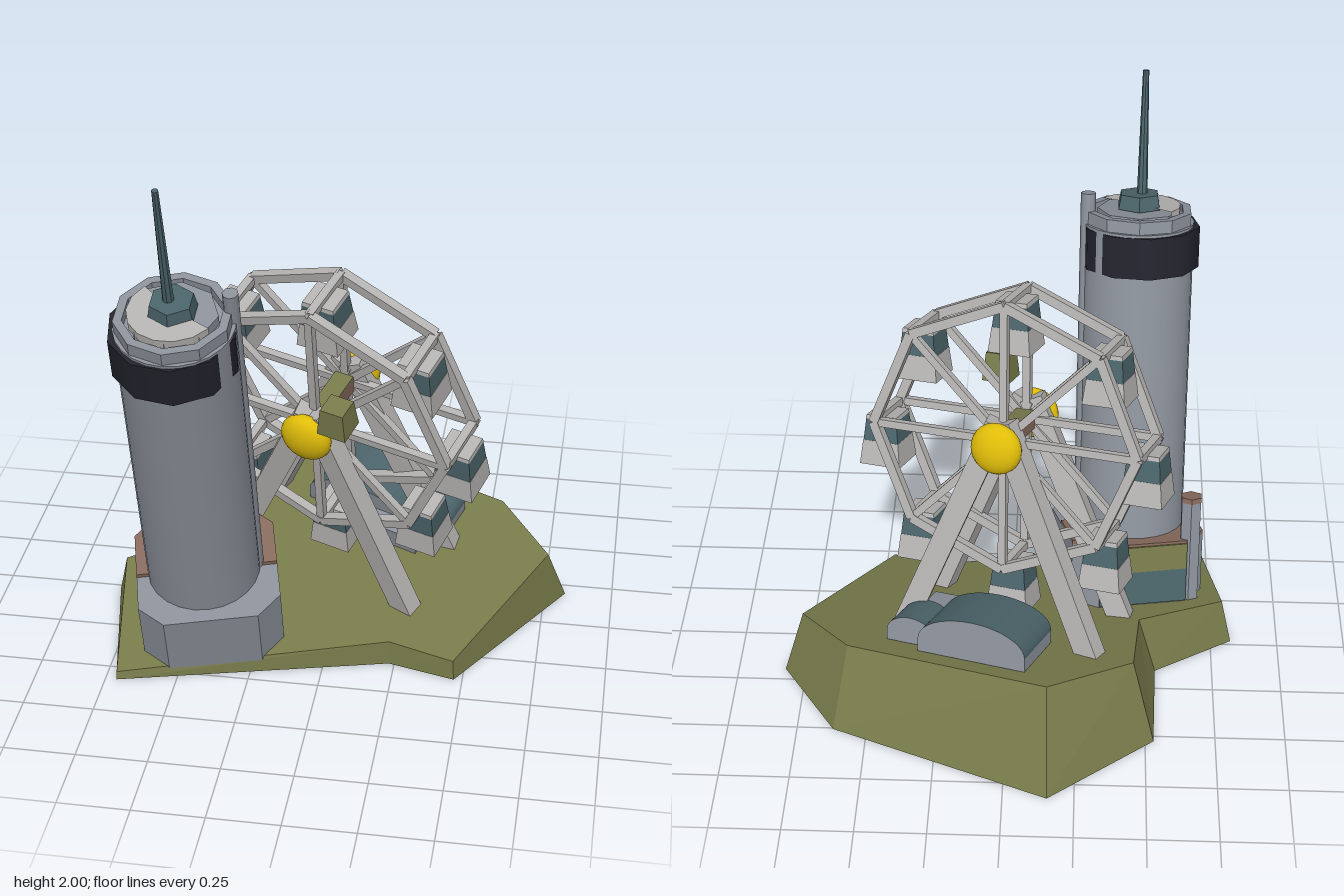
import * as THREE from 'three';

const mat = (name, color) => { const m = new THREE.MeshStandardMaterial({ color }); m.name = name; return m; };

export function createModel() {
  const olive = mat('olive', 0x777a4a), grey = mat('grey', 0x8b919a), pale = mat('pale grey', 0xb5b3b1);
  const black = mat('near black', 0x23232d), teal = mat('teal', 0x4a6369), brown = mat('brown', 0x876a5d);
  const gold = mat('gold', 0xe0bd0a);
  olive.side = THREE.DoubleSide; // the hill is an open shell

  const model = new THREE.Group();
  model.name = 'fairgroundOnHill';
  const V = (x, y, z) => new THREE.Vector3(x, y, z);
  const flat = g => { const n = g.index ? g.toNonIndexed() : g; n.computeVertexNormals(); return n; };
  const add = (parent, name, geo, m, x = 0, y = 0, z = 0) => {
    const mesh = new THREE.Mesh(geo, m);
    mesh.name = name;
    mesh.position.set(x, y, z);
    parent.add(mesh);
    return mesh;
  };
  const group = (parent, name, x, y, z, ry = 0) => {
    const g = new THREE.Group();
    g.name = name;
    g.position.set(x, y, z);
    g.rotation.y = ry;
    parent.add(g);
    return g;
  };
  const box = (parent, name, w, h, d, m, x, y, z) => add(parent, name, new THREE.BoxGeometry(w, h, d), m, x, y, z);
  const beam = (parent, name, a, b, w, d, m) => {
    const mesh = box(parent, name, w, a.distanceTo(b), d, m, 0, 0, 0);
    mesh.position.lerpVectors(a, b, 0.5);
    mesh.quaternion.setFromUnitVectors(V(0, 1, 0), b.clone().sub(a).normalize());
  };
  // vertical prism or cone section from y0 to y1
  const prism = (parent, name, rt, rb, y0, y1, n, m, x, z, smooth = false) => {
    const g = new THREE.CylinderGeometry(rt, rb, y1 - y0, n);
    return add(parent, name, smooth ? g : flat(g), m, x, (y0 + y1) / 2, z);
  };

  // Hill: sloped top outline with walls down to a wider foot, open below
  const tilt = Math.PI / 12, lift = 0.18;
  const foot = [[-0.155, -0.82], [0.62, -0.505], [0.827, -0.195], [0.47, 0.395], [0.23, 0.335],
    [-0.71, 0.572], [-0.826, 0.02], [-0.54, -0.155], [-0.53, -0.525]];
  const crest = [[-0.147, -0.63], [0.57, -0.365], [0.76, -0.127], [0.465, 0.39], [0.23, 0.33],
    [-0.71, 0.565], [-0.787, 0.055], [-0.475, -0.11], [-0.45, -0.44]];
  const top = crest.map(([x, z]) => V(x, lift - z * Math.tan(tilt), z));
  const bottom = foot.map(([x, z]) => V(x, 0, z));
  const tris = [];
  top.forEach((t, i) => {
    const j = (i + 1) % top.length;
    tris.push(t, top[j], bottom[j], t, bottom[j], bottom[i]);
  });
  for (const f of THREE.ShapeUtils.triangulateShape(top.map(p => new THREE.Vector2(p.x, p.z)), [])) {
    const [a, b, c] = f.map(k => top[k]);
    const up = b.clone().sub(a).cross(c.clone().sub(a)).y > 0;
    tris.push(a, ...(up ? [b, c] : [c, b]));
  }
  const hill = new THREE.BufferGeometry().setFromPoints(tris);
  hill.computeVertexNormals();
  add(model, 'hill', hill, olive);

  // Everything else stands square to the slope
  const site = group(model, 'site', 0, lift, 0);
  site.rotation.x = tilt;

  // Tower base: chamfered square with a thin skirt sunk into the hill
  const tx = -0.437, tz = 0.262;
  const base = group(site, 'towerBase', -0.428, 0, 0.26, 0.244);
  const slab = (name, pts, y0, y1, m, hole) => {
    const outline = k => pts.map(([x, z]) => new THREE.Vector2(x * k, -z * k));
    const shape = new THREE.Shape(outline(1));
    if (hole) shape.holes.push(new THREE.Path(outline(hole)));
    const g = new THREE.ExtrudeGeometry(shape, { depth: y1 - y0, bevelEnabled: false });
    g.rotateX(-Math.PI / 2);
    add(base, name, g, m, 0, y0, 0);
  };
  const a = 0.25, c = 0.165;
  const octagon = [[-c, a], [c, a], [a, c], [a, -c], [c, -a], [-c, -a], [-a, -c], [-a, c]];
  slab('baseSkirt', octagon, -0.035, 0.003, grey, 0.96);
  slab('baseBlock', octagon, 0.003, 0.23, grey);
  slab('baseRoof', [[-a, 0.02], [a, 0.02], [a, -c], [c, -a], [-c, -a], [-a, -c]], 0.23, 0.245, brown);
  box(base, 'backWindow', 2 * c, 0.13, 0.008, teal, 0, 0.07, -a - 0.003);
  box(base, 'backBand', 2 * c, 0.1, 0.008, olive, 0, 0.185, -a - 0.003);

  // Chimney at the back corner
  prism(site, 'chimney', 0.04, 0.04, 0.003, 0.39, 6, grey, -0.66, 0.095);
  prism(site, 'chimneyCap', 0.042, 0.042, 0.39, 0.41, 6, brown, -0.66, 0.095);

  // Tower
  prism(site, 'towerShaft', 0.2, 0.2, 0.2, 1.41, 24, grey, tx, tz, true);
  prism(site, 'towerCollar', 0.214, 0.214, 1.25, 1.4, 10, black, tx - 0.008, tz, true).rotation.y = 0.157;
  const lip = [[0.195, 1.39], [0.195, 1.455], [0.165, 1.455], [0.165, 1.42], [0, 1.42]];
  add(site, 'towerRim', flat(new THREE.LatheGeometry(lip.map(p => new THREE.Vector2(...p)), 10)), grey, tx, 0, tz);
  prism(site, 'towerDeck', 0.148, 0.148, 1.41, 1.455, 8, grey, tx, tz);
  const plate = new THREE.CylinderGeometry(0.15, 0.15, 0.03, 8, 1, false, -2.3, 3.35);
  add(site, 'deckPlate', flat(plate), pale, tx, 1.455, tz);
  prism(site, 'antennaFoot', 0.075, 0.085, 1.46, 1.512, 6, teal, tx, tz);
  prism(site, 'antenna', 0.011, 0.019, 1.51, 1.955, 8, teal, tx - 0.01, tz);
  prism(site, 'towerPipe', 0.027, 0.027, 0.2, 1.52, 8, grey, -0.255, 0.222, true);

  // Wheel
  const wheel = group(site, 'wheel', -0.014, 0.74, -0.11, -0.326);
  const R = 0.495, half = 0.117;
  const rim = (i, z) => V(R * Math.sin(i * Math.PI / 4), R * Math.cos(i * Math.PI / 4), z);
  for (let i = 0; i < 8; i++) {
    for (const z of [-half, half]) {
      beam(wheel, 'rimBar', rim(i, z), rim(i + 1, z), 0.034, 0.034, pale);
      beam(wheel, 'spoke', V(0, 0, z), rim(i, z), 0.028, 0.028, pale);
    }
    beam(wheel, 'crossBar', rim(i, -half), rim(i, half), 0.03, 0.03, pale);
    // Cabin: glazed top over a flared tub
    const p = rim(i, 0);
    const cabin = group(wheel, 'cabin', p.x, p.y, 0);
    const part = (name, wt, wb, y0, y1, m) => {
      const g = new THREE.CylinderGeometry(wt / Math.SQRT2, wb / Math.SQRT2, y1 - y0, 4);
      g.rotateY(Math.PI / 4);
      add(cabin, name, flat(g), m, 0, (y0 + y1) / 2, 0);
    };
    part('cabinRoof', 0.115, 0.12, -0.02, -0.005, pale);
    part('cabinWindows', 0.118, 0.134, -0.1, -0.02, teal);
    part('cabinTub', 0.136, 0.156, -0.19, -0.1, pale);
  }

  // Axle, hub caps and splayed support legs
  box(wheel, 'axle', 0.07, 0.06, 0.34, brown, 0, 0, 0);
  box(wheel, 'axleTop', 0.07, 0.008, 0.34, olive, 0, 0.034, 0);
  for (const s of [-1, 1]) {
    const cap = add(wheel, 'hubCap', new THREE.SphereGeometry(0.094, 20, 14), gold, 0, -0.005, s * 0.19);
    cap.scale.z = 0.55;
    for (const side of [-1, 1])
      beam(wheel, 'supportLeg', V(side * 0.01, 0.075, s * 0.145), V(side * 0.362, -0.76, s * 0.172), 0.083, 0.07, pale);
  }

  // Control box beside the front hub
  const control = new THREE.CylinderGeometry(0.06, 0.075, 0.105, 4);
  control.rotateY(Math.PI / 4 - 0.326);
  add(site, 'controlBox', flat(control), olive, 0.048, 0.9, 0.125);

  // Sheds behind the wheel, with arched roofs running front to back
  const shed = (name, width, len, wall, rise, x, z) => {
    const g = group(site, name, x, 0.003, z, -0.36);
    box(g, 'shedWall', width, wall, len, grey, 0, wall / 2, 0);
    const geo = new THREE.CylinderGeometry(width / 2, width / 2, len, 20, 1, false, -Math.PI / 2, Math.PI);
    geo.rotateX(-Math.PI / 2);
    geo.rotateZ(Math.PI);
    const arch = geo.attributes.position;
    const upright = arch.getY(Math.floor(arch.count / 8)) >= 0;
    if (!upright) geo.rotateZ(Math.PI);
    const roof = add(g, 'shedRoof', geo, [teal, grey, grey], 0, wall, 0);
    roof.scale.y = rise / (width / 2);
  };
  shed('largeShed', 0.41, 0.25, 0.05, 0.1, 0.08, -0.365);
  shed('smallShed', 0.18, 0.16, 0.04, 0.06, 0.32, -0.28);
  const porch = group(site, 'porch', 0.2, 0.003, -0.17, -0.36);
  box(porch, 'porchBlock', 0.2, 0.075, 0.12, grey, 0, 0.0375, 0);

  return model;
}
